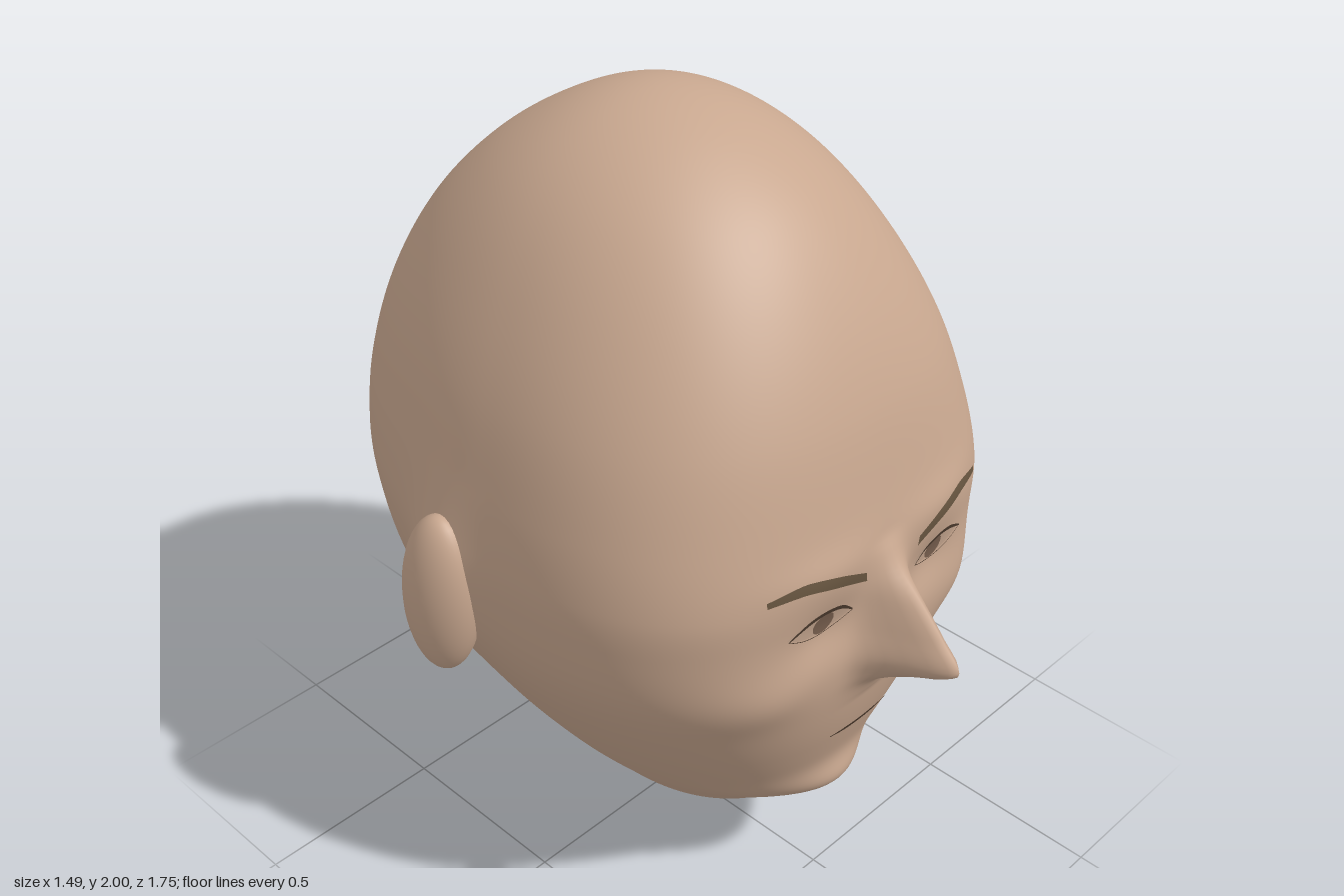
import * as THREE from 'three';

// Head sections: height, half width, front z, back z, front squareness
const SECTIONS = [
  [0, 0, 0, 0, 2], [0.05, 0.11, 0.17, -0.15, 2], [0.2, 0.245, 0.39, -0.285, 2],
  [0.36, 0.37, 0.52, -0.44, 2.1], [0.55, 0.495, 0.6, -0.6, 2.3], [0.72, 0.585, 0.645, -0.725, 2.5],
  [0.85, 0.628, 0.66, -0.815, 2.7], [1, 0.648, 0.66, -0.862, 2.8], [1.1, 0.648, 0.66, -0.87, 2.8],
  [1.25, 0.627, 0.632, -0.85, 2.7], [1.45, 0.575, 0.58, -0.775, 2.5], [1.65, 0.485, 0.485, -0.65, 2.3],
  [1.82, 0.37, 0.355, -0.48, 2.1], [1.93, 0.24, 0.2, -0.315, 2], [2, 0, -0.07, -0.07, 2],
];
// Nose: height, projection, half width
const NOSE = [
  [0.69, 0, 0.07], [0.76, 0.03, 0.075], [0.81, 0.11, 0.07], [0.87, 0.22, 0.064],
  [0.94, 0.175, 0.055], [1.01, 0.11, 0.048], [1.08, 0.035, 0.045], [1.15, 0, 0.045],
];

const angleOf = (y) => Math.acos(THREE.MathUtils.clamp(1 - y, -1, 1));
const gauss = (x, w) => Math.exp(-((x / w) ** 2));

// Smooth interpolation of one table column, keyed by the first column
function sample(table, col, y, key = (v) => v) {
  const last = table.length - 1;
  const t = key(y);
  if (t <= key(table[0][0])) return table[0][col];
  if (t >= key(table[last][0])) return table[last][col];
  let i = 0;
  while (key(table[i + 1][0]) < t) i++;
  const k = (n) => key(table[n][0]);
  const slope = (n) => {
    const a = Math.max(n - 1, 0), b = Math.min(n + 1, last);
    return (table[b][col] - table[a][col]) / (k(b) - k(a));
  };
  const h = k(i + 1) - k(i), u = (t - k(i)) / h, u2 = u * u, u3 = u2 * u;
  return (2 * u3 - 3 * u2 + 1) * table[i][col] + (u3 - 2 * u2 + u) * h * slope(i)
    + (3 * u2 - 2 * u3) * table[i + 1][col] + (u3 - u2) * h * slope(i + 1);
}

function section(y) {
  const [w, front, back, n] = [1, 2, 3, 4].map((c) => sample(SECTIONS, c, y, angleOf));
  const cz = -0.07 * THREE.MathUtils.smoothstep(y, 1.1, 2);
  return { w: Math.max(w, 1e-4), front: Math.max(front - cz, 1e-4), back: Math.max(cz - back, 1e-4), n, cz };
}

// Forward relief of nose, chin, cheekbones and eye sockets
function relief(x, y) {
  const ax = Math.abs(x);
  return sample(NOSE, 1, y) * gauss(x, sample(NOSE, 2, y))
    + 0.055 * gauss(x, 0.17) * gauss(y - 0.34, 0.065)
    + 0.018 * gauss(ax - 0.36, 0.12) * gauss(y - 0.82, 0.09)
    + 0.01 * gauss(ax - 0.2, 0.14) * gauss(y - 1.14, 0.05)
    - 0.022 * gauss(ax - 0.18, 0.1) * gauss(y - 0.97, 0.075);
}

function faceZ(x, y) {
  const s = section(y);
  const side = Math.min(Math.abs(x) / s.w, 1);
  return s.cz + s.front * (1 - side ** s.n) ** (1 / s.n) + relief(x, y);
}

// Grid of points to a smooth geometry
function gridGeometry(rows, cols, closed, point) {
  const pos = [], index = [];
  const count = closed ? cols : cols + 1;
  for (let i = 0; i <= rows; i++) for (let j = 0; j < count; j++) pos.push(...point(i / rows, j / cols));
  for (let i = 0; i < rows; i++) for (let j = 0; j < cols; j++) {
    const a = i * count + j, b = i * count + (j + 1) % count;
    index.push(a, a + count, b, b, a + count, b + count);
  }
  const g = new THREE.BufferGeometry();
  g.setAttribute('position', new THREE.Float32BufferAttribute(pos, 3));
  g.setIndex(index);
  g.computeVertexNormals();
  return g;
}

function headGeometry() {
  let y = -1, s;
  return gridGeometry(240, 240, true, (v, u) => {
    const newY = 1 - Math.cos(v * Math.PI);
    if (newY !== y) { y = newY; s = section(y); }
    const c = Math.cos(u * 2 * Math.PI), d = Math.sin(u * 2 * Math.PI);
    const n = d > 0 ? s.n : 2.05;
    const depth = d > 0 ? s.front : s.back;
    const r = (Math.abs(c / s.w) ** n + Math.abs(d / depth) ** n) ** (-1 / n);
    let x = r * c, z = s.cz + r * d;
    if (d > 0) z += relief(x, y) * THREE.MathUtils.smoothstep(z, 0.1, 0.4);
    // Flare where the ears join
    x += Math.sign(c) * 0.045 * gauss(z + 0.13, 0.12) * gauss(y - 0.97, 0.19) * Math.min(Math.abs(c) * 2, 1);
    return [x, y, z];
  });
}

// Thin plate lying on the face between a lower and an upper outline
function facePlate(lower, upper, lift, side) {
  const curve = (pts) => new THREE.SplineCurve(pts.map(([x, y]) => new THREE.Vector2(x, y)));
  const lo = curve(lower), up = curve(upper);
  return gridGeometry(4, 28, false, (v, u) => {
    const p = lo.getPoint(u).lerp(up.getPoint(u), v);
    return [p.x * side, p.y, faceZ(p.x, p.y) + lift];
  });
}

export function createModel() {
  const group = new THREE.Group();
  const material = (name, color, side = THREE.DoubleSide) => {
    const m = new THREE.MeshStandardMaterial({ color, side });
    m.name = name;
    return m;
  };
  const skin = material('skin', 0xc8a78f, THREE.FrontSide);
  const eyeTone = material('eye', 0xc3a48d);
  const irisTone = material('iris', 0x7a6150);
  const hair = material('brow hair', 0x66543f);
  const line = material('dark line', 0x4c3b2e);
  const add = (name, geometry, mat) => {
    const mesh = new THREE.Mesh(geometry, mat);
    mesh.name = name;
    group.add(mesh);
    return mesh;
  };

  add('head', headGeometry(), skin);

  const lid = [[0.113, 1.008], [0.15, 1.031], [0.2, 1.041], [0.25, 1.034], [0.303, 1.012]];
  const lowerLid = [[0.113, 1.004], [0.15, 0.985], [0.2, 0.976], [0.25, 0.985], [0.303, 1.008]];
  const arc = (dir) => [0, 1, 2, 3, 4, 5, 6].map((i) => {
    const a = (i / 6) * Math.PI;
    return [0.196 - 0.032 * Math.cos(a), 1.006 + dir * 0.03 * Math.sin(a)];
  });

  for (const side of [1, -1]) {
    const label = side > 0 ? 'left' : 'right';
    // Ear
    const ear = add(label + 'Ear', new THREE.SphereGeometry(1, 32, 24), skin);
    ear.scale.set(0.079, 0.222, 0.102);
    ear.position.set(side * 0.666, 0.94, -0.112);
    ear.rotation.set(0.05, side * -0.15, side * 0.02);
    // Eye
    add(label + 'Eye', facePlate(lowerLid, lid, 0.004, side), eyeTone);
    add(label + 'Iris', facePlate(arc(-1), arc(1), 0.007, side), irisTone);
    add(label + 'UpperLid', facePlate(lid.map(([x, y]) => [x, y - 0.003]),
      lid.map(([x, y], i) => [x, y + (i % 4 ? 0.009 : 0.002)]), 0.01, side), line);
    add(label + 'LowerLid', facePlate(lowerLid.map(([x, y]) => [x, y - 0.002]), lowerLid, 0.008, side), line);
    // Eyebrow
    add(label + 'Eyebrow', facePlate(
      [[0.09, 1.083], [0.17, 1.111], [0.25, 1.131], [0.3, 1.134], [0.362, 1.129]],
      [[0.094, 1.108], [0.17, 1.139], [0.25, 1.157], [0.3, 1.156], [0.362, 1.143]], 0.014, side), hair);
  }

  // Mouth
  add('mouth', facePlate([[-0.103, 0.579], [-0.05, 0.573], [0, 0.572], [0.05, 0.573], [0.103, 0.579]],
    [[-0.103, 0.582], [-0.05, 0.584], [0, 0.583], [0.05, 0.584], [0.103, 0.582]], 0.006, 1), line);

  return group;
}
